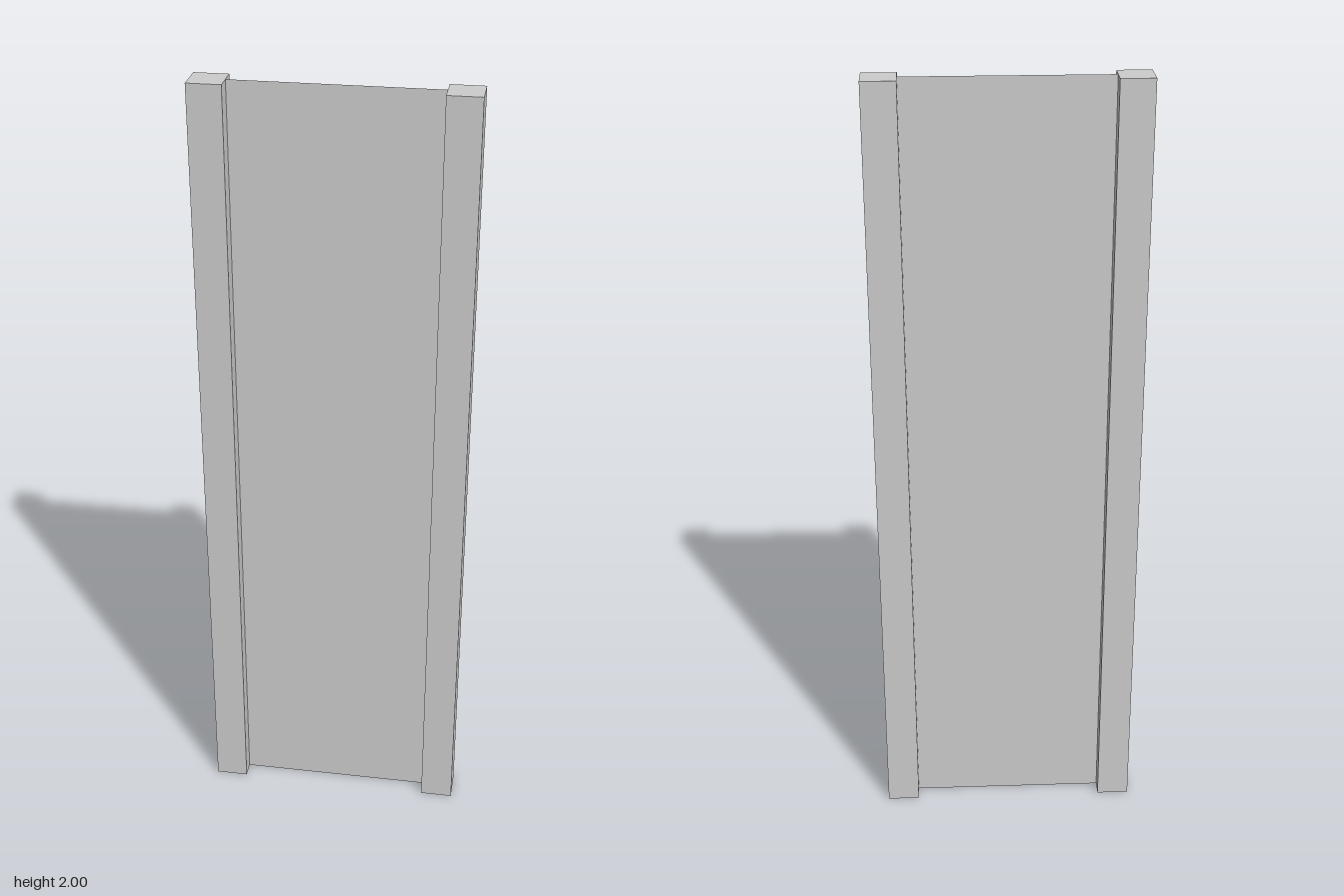
import * as THREE from 'three';

const HEIGHT = 2;
const POST = 0.0833; // square post section
const GAP = 0.5; // clear width between the posts

export function createModel() {
  const group = new THREE.Group();
  const material = new THREE.MeshStandardMaterial({ color: 0xcccccc, flatShading: true });

  // Square posts on both sides
  const postGeometry = new THREE.BoxGeometry(POST, HEIGHT, POST);
  for (const side of [-1, 1]) {
    const post = new THREE.Mesh(postGeometry, material);
    post.name = side > 0 ? 'leftPost' : 'rightPost';
    post.position.set(side * (GAP + POST) / 2, HEIGHT / 2, 0);
    group.add(post);
  }

  // Paper-thin sheet spanning the posts on their centre line
  const panelMaterial = material.clone();
  panelMaterial.side = THREE.DoubleSide;
  const panel = new THREE.Mesh(new THREE.PlaneGeometry(GAP, HEIGHT), panelMaterial);
  panel.name = 'panel';
  panel.position.y = HEIGHT / 2;
  group.add(panel);

  return group;
}
